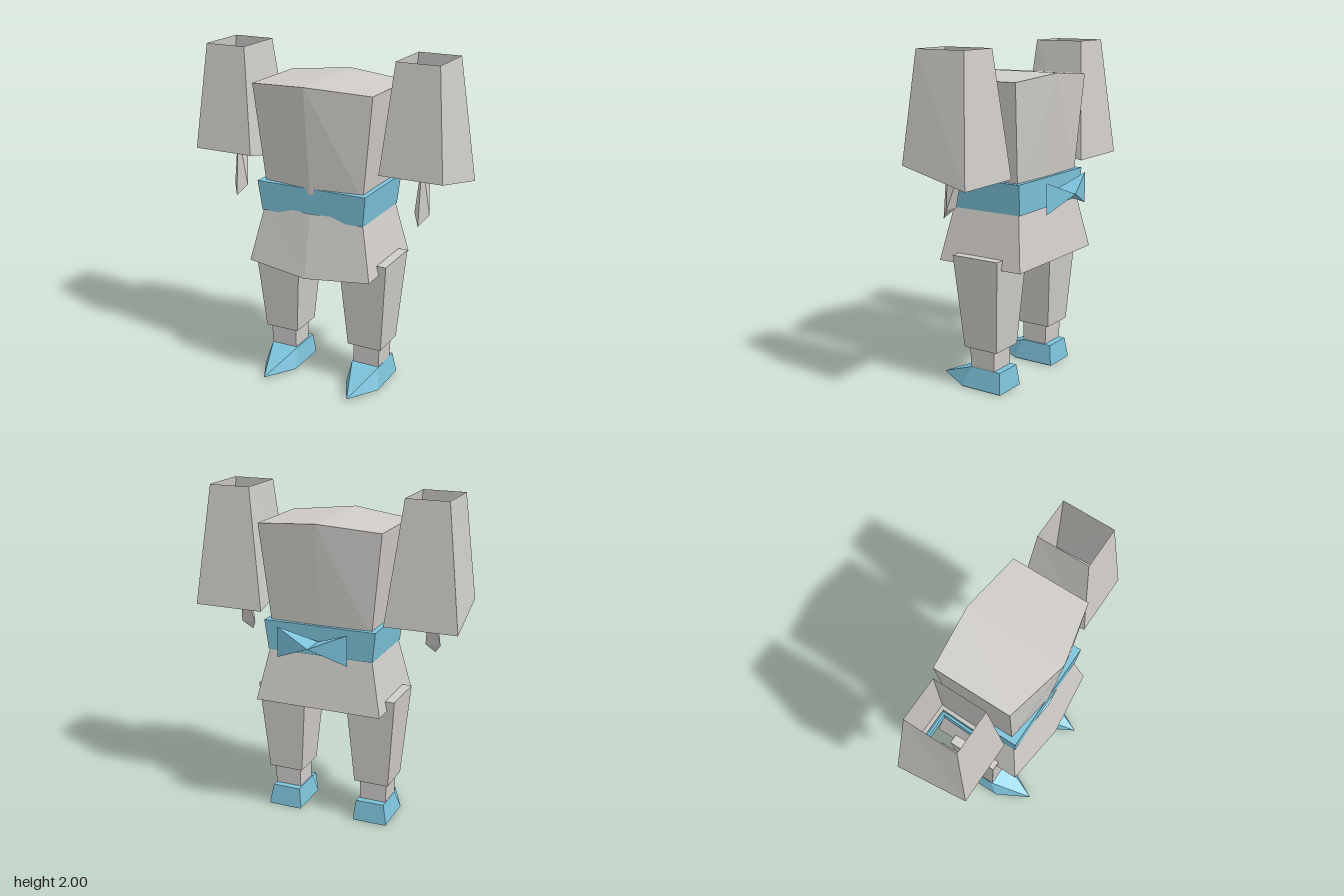
import * as THREE from 'three';
import { ConvexGeometry } from 'three/addons/geometries/ConvexGeometry.js';

const grey = new THREE.MeshStandardMaterial({ color: 0xcfccc8, side: THREE.DoubleSide });
grey.name = 'cloth grey';
const blue = new THREE.MeshStandardMaterial({ color: 0x7cc3db, side: THREE.DoubleSide });
blue.name = 'trim blue';

// Solid faceted part spanned by its corner points
function solid(name, material, points) {
  const mesh = new THREE.Mesh(new ConvexGeometry(points.map(p => new THREE.Vector3(...p))), material);
  mesh.name = name;
  return mesh;
}

// Open faceted shell joining closed rings of corners
function shell(name, material, rings) {
  const pos = [];
  for (let i = 0; i + 1 < rings.length; i++) {
    const a = rings[i], b = rings[i + 1], n = a.length;
    for (let j = 0; j < n; j++) {
      const k = (j + 1) % n;
      pos.push(...a[j], ...b[j], ...b[k], ...a[j], ...b[k], ...a[k]);
    }
  }
  const g = new THREE.BufferGeometry();
  g.setAttribute('position', new THREE.Float32BufferAttribute(pos, 3));
  g.computeVertexNormals();
  const mesh = new THREE.Mesh(g, material);
  mesh.name = name;
  return mesh;
}

// Four corners of a level rectangle; back and front may differ in width and height
function rect(x0, x1, y, z0, z1, yFront = y, inFront = 0) {
  return [[x0, y, z0], [x0 + inFront, yFront, z1], [x1 - inFront, yFront, z1], [x1, y, z0]];
}

function makeLeg(s) {
  const leg = new THREE.Group();
  leg.name = s > 0 ? 'leftLeg' : 'rightLeg';
  const r = (a, b, y, z0, z1) => rect(Math.min(s * a, s * b), Math.max(s * a, s * b), y, z0, z1);
  leg.add(solid('trouser', grey, [...r(0.13, 0.435, 0.815, -0.125, 0.185), ...r(0.175, 0.39, 0.255, -0.085, 0.14)]));
  leg.add(solid('ankle', grey, [...r(0.2, 0.37, 0.26, -0.055, 0.115), ...r(0.2, 0.365, 0.12, -0.05, 0.11)]));
  leg.add(solid('shoe', blue, [
    ...r(0.19, 0.367, 0.128, -0.092, 0.11),
    ...r(0.175, 0.39, 0.005, -0.105, 0.165),
    ...r(0.18, 0.385, 0, -0.105, 0.16),
    [s * 0.282, 0.02, 0.37],
  ]));
  return leg;
}

function makeArm(s) {
  const arm = new THREE.Group();
  arm.name = s > 0 ? 'leftArm' : 'rightArm';
  const cx = s * 0.596;
  // Sloping hem ring, inset by d and raised by h
  const hem = (d, h) => rect(cx - 0.215 + d, cx + 0.215 - d, 1.285 + h + d * 0.2, -0.187 + d, 0.25 - d, 1.38 + h - d * 0.2, 0.028);
  arm.add(shell('sleeve', grey, [
    rect(cx - 0.126, cx + 0.126, 2, -0.126, 0.188), hem(0, 0), hem(0.03, 0),
  ]));
  arm.add(shell('cuffLining', blue, [hem(0.03, 0.03), hem(0.03, -0.003), hem(0.058, -0.003), hem(0.058, 0.057)]));
  // Pointed hand hanging out of the sleeve
  arm.add(solid('hand', grey, [
    [cx, 1.07, 0.12], [cx - 0.045, 1.13, 0.065], [cx + 0.045, 1.13, 0.065],
    [cx, 1.46, 0.085], [cx, 1.44, -0.03],
  ]));
  return arm;
}

export function createModel() {
  const model = new THREE.Group();
  model.name = 'robedFigure';

  // Torso with a ridge down the front, back and top
  model.add(solid('torso', grey, [
    [-0.375, 1.815, 0.262], [0.375, 1.815, 0.262], [0, 1.845, 0.35],
    [-0.375, 1.815, -0.21], [0.375, 1.815, -0.21], [0, 1.845, -0.25],
    [-0.31, 1.215, 0.235], [0.31, 1.215, 0.235], [0, 1.215, 0.28],
    [-0.31, 1.215, -0.18], [0.31, 1.215, -0.18], [0, 1.215, -0.19],
  ]));

  model.add(solid('belt', blue, [
    ...rect(-0.345, 0.345, 1.25, -0.213, 0.28), ...rect(-0.325, 0.325, 1.07, -0.203, 0.266),
  ]));

  // Flared skirt, open underneath
  model.add(shell('skirt', grey, [
    [[-0.315, 1.1, -0.19], [-0.315, 1.1, 0.25], [0, 1.1, 0.281], [0.315, 1.1, 0.25], [0.315, 1.1, -0.19]],
    [[-0.39, 0.757, -0.248], [-0.39, 0.757, 0.312], [0, 0.727, 0.355], [0.39, 0.757, 0.312], [0.39, 0.757, -0.248]],
  ]));

  // Bow of two pinched wings behind the belt
  const bow = new THREE.Group();
  bow.name = 'bow';
  for (const s of [-1, 1]) {
    bow.add(solid('bowWing', blue, [
      [0, 1.16, -0.22], [0, 1.16, -0.373], [s * 0.215, 1.25, -0.312], [s * 0.215, 1.068, -0.312],
    ]));
  }
  model.add(bow);

  for (const s of [-1, 1]) model.add(makeLeg(s), makeArm(s));
  return model;
}
